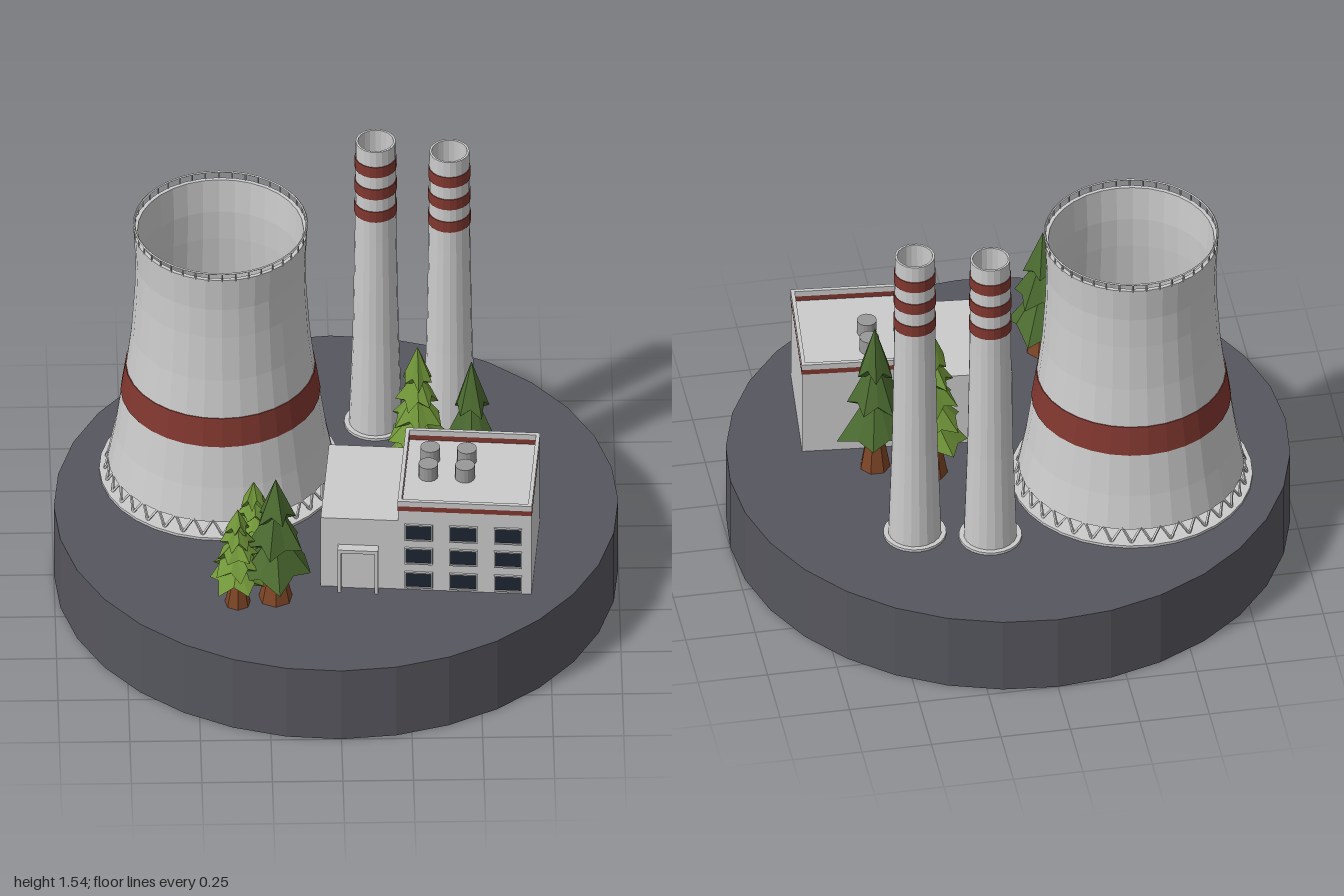
import * as THREE from 'three';

const mat = (color, extra = {}) => new THREE.MeshStandardMaterial({ color, flatShading: true, ...extra });
const GREY = mat(0xcccccc), RED = mat(0x80372f), GROUND = mat(0x56565e), GLASS = mat(0x1c2632);
const LIGHT_LEAF = mat(0x6f9438, { side: THREE.DoubleSide });
const DARK_LEAF = mat(0x4b6a30, { side: THREE.DoubleSide });
const BARK = mat(0x7d4526), VENT = mat(0x999999);

function add(parent, name, geometry, material, x = 0, y = 0, z = 0) {
  const mesh = new THREE.Mesh(geometry, material);
  mesh.name = name;
  mesh.position.set(x, y, z);
  parent.add(mesh);
  return mesh;
}

function group(parent, name, x, z, y = 0.3) {
  const g = new THREE.Group();
  g.name = name;
  g.position.set(x, y, z);
  parent.add(g);
  return g;
}

function seeded(seed) {
  return () => {
    seed = (seed * 16807) % 2147483647;
    return seed / 2147483647;
  };
}

const lathe = (points, sides) => new THREE.LatheGeometry(points.map(([r, y]) => new THREE.Vector2(r, y)), sides);

// Hollow shell: up the outside, down the inside, closed at the bottom
function shell(profile, thickness, sides) {
  const inner = profile.map(([r, y]) => [r - thickness, y]).reverse();
  return lathe([...profile, ...inner, profile[0]], sides);
}

// Radius of a profile at a given height
function radiusAt(profile, y) {
  const i = Math.max(1, profile.findIndex(p => p[1] >= y));
  const [r0, y0] = profile[i - 1], [r1, y1] = profile[i];
  return r0 + (r1 - r0) * (y - y0) / (y1 - y0);
}

function band(profile, y0, y1, sides) {
  const a = radiusAt(profile, y0) + 0.003, b = radiusAt(profile, y1) + 0.003;
  return lathe([[a - 0.006, y0], [a, y0], [b, y1], [b - 0.006, y1]], sides);
}

function strut(parent, name, a, b, radius) {
  const d = b.clone().sub(a);
  const m = add(parent, name, new THREE.CylinderGeometry(radius, radius, d.length(), 4), GREY);
  m.position.copy(a).add(b).multiplyScalar(0.5);
  m.quaternion.setFromUnitVectors(new THREE.Vector3(0, 1, 0), d.normalize());
}

const polar = (r, angle, y) => new THREE.Vector3(r * Math.sin(angle), y, r * Math.cos(angle));

function coolingTower(parent) {
  const g = group(parent, 'coolingTower', -0.405, -0.215);
  const profile = [[0.4, 0.06], [0.375, 0.19], [0.352, 0.35], [0.334, 0.47], [0.316, 0.62],
    [0.304, 0.8], [0.301, 0.92], [0.308, 1.055]];
  add(g, 'towerPad', new THREE.CylinderGeometry(0.43, 0.43, 0.01, 32), GREY, 0, 0.005);
  add(g, 'towerShell', shell(profile, 0.014, 32), GREY);
  add(g, 'towerBand', band(profile, 0.355, 0.468, 32), RED);
  // Zigzag legs under the shell
  const n = 36, step = Math.PI * 2 / n;
  for (let i = 0; i < n; i++) {
    const foot = polar(0.41, i * step, 0.008);
    for (const s of [-0.5, 0.5]) strut(g, 'towerLeg', foot, polar(0.393, (i + s) * step, 0.065), 0.005);
  }
  // Railing round the rim
  for (let i = 0; i < 40; i++) {
    const a = i * Math.PI / 20;
    strut(g, 'railPost', polar(0.306, a, 1.05), polar(0.306, a, 1.083), 0.003);
  }
  const rail = add(g, 'railing', new THREE.TorusGeometry(0.306, 0.004, 4, 40), GREY, 0, 1.082);
  rail.rotation.x = Math.PI / 2;
}

function chimney(parent, x, z) {
  const g = group(parent, 'chimney', x, z);
  const profile = [[0.095, 0], [0.082, 0.4], [0.074, 0.85], [0.071, 1.24]];
  add(g, 'chimneyPad', new THREE.CylinderGeometry(0.112, 0.112, 0.01, 24), GREY, 0, 0.005);
  add(g, 'chimneyShaft', shell(profile, 0.008, 20), GREY);
  for (const y of [0.935, 1.033, 1.13]) add(g, 'chimneyBand', band(profile, y, y + 0.045, 20), RED);
}

// Open rectangular frame lying flat (w along x, d along z)
function rim(w, d, t, h) {
  const rect = (a, b) => [[-a, -b], [a, -b], [a, b], [-a, b]].map(p => new THREE.Vector2(p[0] / 2, p[1] / 2));
  const s = new THREE.Shape(rect(w, d));
  s.holes.push(new THREE.Path(rect(w - 2 * t, d - 2 * t).reverse()));
  return new THREE.ExtrudeGeometry(s, { depth: h, bevelEnabled: false });
}

function building(parent) {
  const g = group(parent, 'building', 0.3275, 0.305);
  g.rotation.y = -0.087;
  const depth = 0.437, front = depth / 2, cx = 0.1375, w = 0.473;
  add(g, 'lowHall', new THREE.BoxGeometry(0.275, 0.3, depth), GREY, -0.2365, 0.15);
  add(g, 'officeBlock', new THREE.BoxGeometry(w, 0.345, depth), GREY, cx, 0.1725);
  const stripe = add(g, 'roofStripe', rim(w + 0.004, depth + 0.004, 0.014, 0.02), RED, cx, 0.345);
  const parapet = add(g, 'parapet', rim(w + 0.004, depth + 0.004, 0.014, 0.022), GREY, cx, 0.365);
  stripe.rotation.x = parapet.rotation.x = -Math.PI / 2;

  // Roof vents
  for (const x of [-0.065, 0.065]) for (const z of [-0.05, 0.05]) {
    add(g, 'roofVent', new THREE.CylinderGeometry(0.035, 0.035, 0.055, 16), VENT, 0.059 + x, 0.3725, -0.045 + z);
  }
  // Windows in three rows
  for (const x of [-0.026, 0.133, 0.2915]) for (const y of [0.045, 0.15, 0.253]) {
    add(g, 'windowPane', new THREE.BoxGeometry(0.092, 0.062, 0.006), GLASS, x, y, front);
    add(g, 'windowFrame', rim(0.1, 0.07, 0.005, 0.008), GREY, x, y, front);
  }
  // Door with a projecting surround
  for (const s of [-1, 1]) {
    add(g, 'doorPost', new THREE.BoxGeometry(0.012, 0.18, 0.035), GREY, -0.24 + s * 0.066, 0.09, front + 0.0175);
  }
  add(g, 'doorLintel', new THREE.BoxGeometry(0.144, 0.014, 0.035), GREY, -0.24, 0.179, front + 0.0175);
  add(g, 'door', new THREE.BoxGeometry(0.112, 0.168, 0.008), GREY, -0.24, 0.084, front);
}

// Conifer: stacked cones with an uneven, toothed hem
function tree(parent, { x, z, h, r, leaf, tiers, sides, seed }) {
  const g = group(parent, 'tree', x, z), rand = seeded(seed);
  add(g, 'trunk', new THREE.CylinderGeometry(0.012, r * 0.42, h * 0.4, 7), BARK, 0, h * 0.2);
  const start = h * 0.2;
  for (let i = 0; i < tiers; i++) {
    const t = i / tiers;
    const bottom = start + (h - start) * t * 0.85;
    const top = i === tiers - 1 ? h : Math.min(h * 0.94, bottom + (h - start) * 1.45 / tiers);
    const radius = r * (1 - t * 0.72);
    const pts = Array.from({ length: sides * 2 }, (_, k) => {
      const tip = k % 2 === 0;
      return { s: (tip ? 1 : 0.72) * (0.88 + rand() * 0.2), dy: (tip ? 0 : 0.03) + rand() * 0.025 };
    });
    const geo = new THREE.ConeGeometry(1, top - bottom, sides * 2, 1);
    const p = geo.attributes.position;
    for (let v = 0; v < p.count; v++) {
      const px = p.getX(v), pz = p.getZ(v);
      if (p.getY(v) > 0 || Math.hypot(px, pz) < 0.5) continue;
      const k = Math.round(Math.atan2(px, pz) / Math.PI * sides + sides * 2) % (sides * 2);
      p.setXYZ(v, px * radius * pts[k].s, p.getY(v) + pts[k].dy, pz * radius * pts[k].s);
    }
    geo.computeVertexNormals();
    add(g, 'foliageTier', geo, leaf, 0, (top + bottom) / 2).rotation.y = rand() * 3;
  }
}

export function createModel() {
  const model = new THREE.Group();
  model.name = 'powerStation';
  add(model, 'groundDisc', new THREE.CylinderGeometry(1, 1, 0.3, 32), GROUND, 0, 0.15);
  coolingTower(model);
  chimney(model, 0.15, -0.48);
  chimney(model, 0.41, -0.415);
  building(model);

  const light = { leaf: LIGHT_LEAF, tiers: 5, sides: 6 };
  const dark = { leaf: DARK_LEAF, tiers: 3, sides: 5 };
  tree(model, { ...light, x: -0.3, z: 0.42, h: 0.41, r: 0.11, seed: 11 });
  tree(model, { ...light, x: -0.36, z: 0.585, h: 0.41, r: 0.11, seed: 23 });
  tree(model, { ...dark, x: -0.225, z: 0.555, h: 0.52, r: 0.145, seed: 37 });
  tree(model, { ...light, x: 0.29, z: -0.075, h: 0.63, r: 0.14, seed: 51 });
  tree(model, { ...dark, x: 0.48, z: -0.005, h: 0.615, r: 0.13, seed: 67 });
  return model;
}
